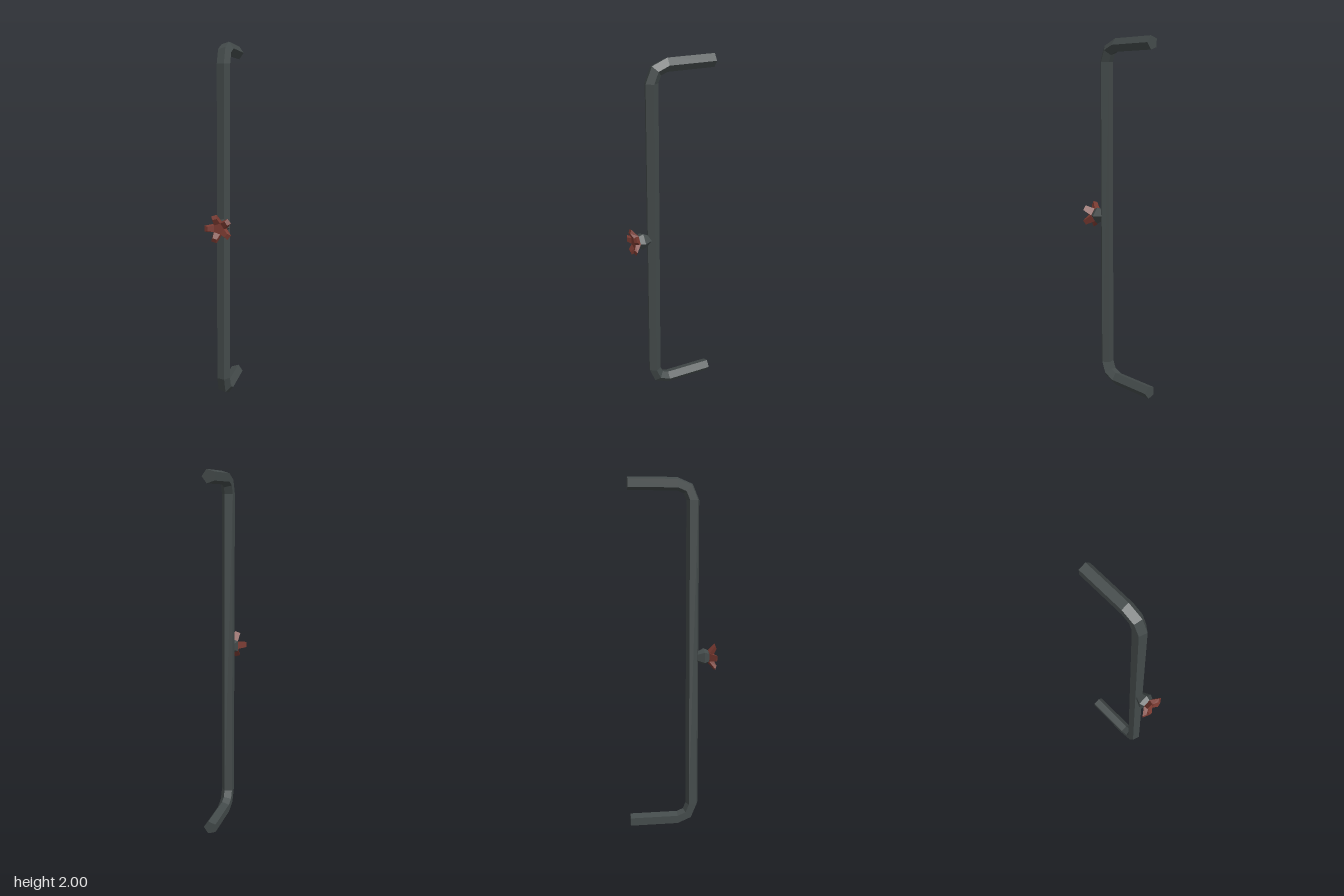
import * as THREE from 'three';

const SIDES = 5;
const STEP = (Math.PI * 2) / SIDES;

// Turns a list of planar polygons (arrays of Vector3, counter-clockwise) into a faceted geometry.
function facets(polygons) {
  const pos = [];
  for (const p of polygons) {
    for (let i = 1; i < p.length - 1; i++) {
      for (const v of [p[0], p[i], p[i + 1]]) pos.push(v.x, v.y, v.z);
    }
  }
  const g = new THREE.BufferGeometry();
  g.setAttribute('position', new THREE.Float32BufferAttribute(pos, 3));
  g.computeVertexNormals();
  return g;
}

// Pentagonal ring spanned by x and a normal that leans by `tilt` from +y towards +z.
function ring(y, z, r, tilt = 0) {
  return Array.from({ length: SIDES }, (_, j) => {
    const a = j * STEP, s = r * Math.sin(a);
    return new THREE.Vector3(r * Math.cos(a), y + s * Math.cos(tilt), z + s * Math.sin(tilt));
  });
}

// Skins consecutive rings and caps both ends.
function loft(rings) {
  const faces = [[...rings[0]].reverse(), rings[rings.length - 1]];
  for (let i = 0; i < rings.length - 1; i++) {
    for (let j = 0; j < SIDES; j++) {
      const k = (j + 1) % SIDES;
      faces.push([rings[i][j], rings[i][k], rings[i + 1][k], rings[i + 1][j]]);
    }
  }
  return facets(faces);
}

// Five-armed hand wheel, flaring forward from a pentagonal hub.
function wheelGeometry(y) {
  const back = ring(y, 0.205, 0.04);
  const front = ring(y, 0.232, 0.031);
  const faces = [[...back].reverse(), front];
  for (let k = 0; k < SIDES; k++) {
    const n = (k + 1) % SIDES, a = (k + 0.5) * STEP;
    const tip = (out, side, z) => new THREE.Vector3(
      out * Math.cos(a) - side * Math.sin(a),
      y + out * Math.sin(a) + side * Math.cos(a), z);
    const ab = tip(0.076, -0.016, 0.239), bb = tip(0.076, 0.016, 0.239);
    const af = tip(0.055, -0.012, 0.248), bf = tip(0.055, 0.012, 0.248);
    faces.push(
      [front[k], af, bf, front[n]],
      [back[n], bb, ab, back[k]],
      [af, ab, bb, bf],
      [back[k], ab, af, front[k]],
      [front[n], bf, bb, back[n]]);
  }
  return facets(faces);
}

export function createModel() {
  const model = new THREE.Group();
  model.name = 'pipeWithValve';
  const iron = new THREE.MeshStandardMaterial({ name: 'dark iron', color: 0x434a4a, flatShading: true });
  const red = new THREE.MeshStandardMaterial({ name: 'rust red', color: 0x7a3a31, flatShading: true });
  const add = (name, geometry, material) => {
    const mesh = new THREE.Mesh(geometry, material);
    mesh.name = name;
    model.add(mesh);
  };

  // Pipe: top leg, two rounded bends, bottom leg
  const r = 0.038, bend = 0.088, legY = 1.963, bendZ = 0.025;
  const rings = [ring(legY, -0.25, r)];
  for (const [centreY, start] of [[legY - bend, 0], [2 - legY + bend, Math.PI / 2]]) {
    for (let i = 0; i <= 2; i++) {
      const t = start + (i * Math.PI) / 4;
      rings.push(ring(centreY + bend * Math.cos(t), bendZ + bend * Math.sin(t), r, t));
    }
  }
  rings.push(ring(2 - legY, -0.25, r, Math.PI));
  add('pipe', loft(rings), iron);

  // Valve stem bulging out of the pipe, and its hand wheel
  add('valveStem', loft([ring(1, 0.12, 0.019), ring(1, 0.178, 0.05), ring(1, 0.207, 0.037)]), iron);
  add('valveWheel', wheelGeometry(1), red);

  return model;
}
